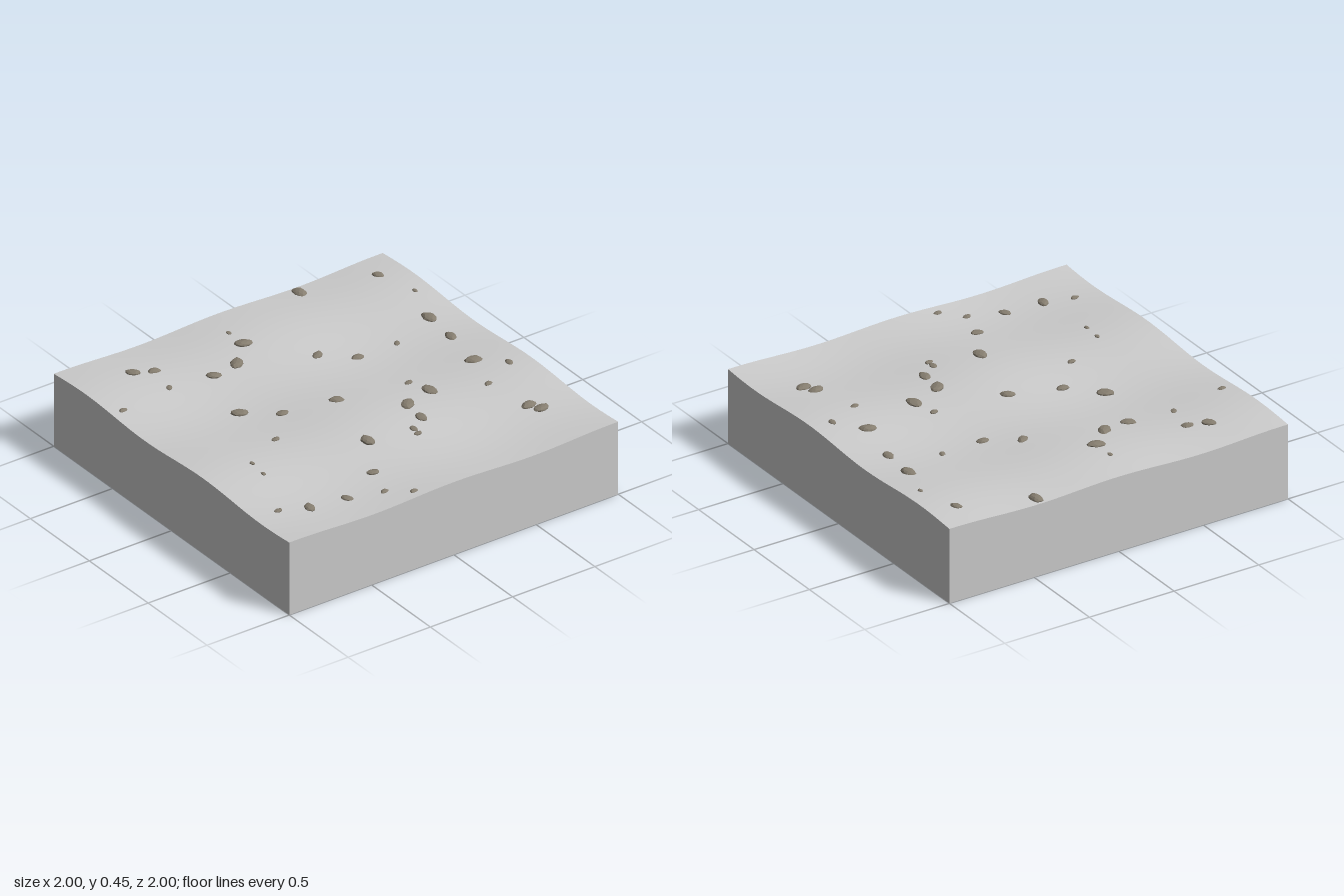
import * as THREE from 'three';

const concrete = new THREE.MeshStandardMaterial({ color: 0xcccccc });
concrete.name = 'pale grey ground';
const stone = new THREE.MeshStandardMaterial({ color: 0x857d6f, flatShading: true });
stone.name = 'brown grey pebble';

// gentle waves of the ground
const height = (x, z) =>
  0.411 + 0.012 * Math.cos(2 * Math.PI * (x - 0.27)) + 0.008 * Math.cos(2 * Math.PI * z / 0.97);

// block with a wavy top
function makeGround() {
  const g = new THREE.BoxGeometry(2, 2, 2, 64, 1, 64);
  const p = g.attributes.position;
  for (let i = 0; i < p.count; i++) {
    p.setY(i, p.getY(i) > 0 ? height(p.getX(i), p.getZ(i)) : 0);
  }
  g.computeVertexNormals();
  const mesh = new THREE.Mesh(g, concrete);
  mesh.name = 'groundBlock';
  return mesh;
}

// irregular faceted stone, the same corner always moves the same way
function makePebbleGeometry(seed) {
  const g = new THREE.IcosahedronGeometry(1, 1);
  const p = g.attributes.position;
  const v = new THREE.Vector3();
  for (let i = 0; i < p.count; i++) {
    v.fromBufferAttribute(p, i);
    const bump = Math.sin(v.x * 3.1 + seed) * Math.cos(v.z * 3.7 + seed * 2) + Math.sin(v.y * 4 + seed * 3) * 0.5;
    v.multiplyScalar(1 + 0.1 * bump);
    p.setXYZ(i, v.x, v.y, v.z);
  }
  g.computeVertexNormals();
  return g;
}

const shapes = [1, 2.3, 3.9, 5.2].map(makePebbleGeometry);

// stones of one length and turn (degrees), half sunk in the ground at each x, z
function scatter(name, length, turn, spots) {
  const group = new THREE.Group();
  group.name = name;
  spots.forEach(([x, z], i) => {
    const pebble = new THREE.Mesh(shapes[i % shapes.length], stone);
    pebble.name = 'pebble';
    pebble.scale.set(length * 0.5, length * 0.19, length * 0.34);
    pebble.rotation.y = THREE.MathUtils.degToRad(turn);
    pebble.position.set(x, height(x, z) + 0.001, z);
    group.add(pebble);
  });
  return group;
}

export function createModel() {
  const model = new THREE.Group();
  model.name = 'pebbledGround';
  model.add(
    makeGround(),
    // large stones
    scatter('largePebblesAcross', 0.094, 5, [[-0.375, -0.835], [0.205, -0.42], [0.435, 0.12], [-0.945, -0.455]]),
    scatter('largePebblesSlanted', 0.092, 63, [[0.1, -0.765], [-0.675, 0.08], [-0.19, 0.45]]),
    scatter('largePebblesBackslanted', 0.095, -48, [[-0.555, 0.205], [0.265, -0.245]]),
    // medium stones
    scatter('mediumPebblesAcross', 0.078, -10, [[-0.17, -0.82], [0.4, -0.23], [0.76, 0.705]]),
    scatter('mediumPebblesSlanted', 0.078, 52, [[0.02, 0.01], [-0.535, 0.36], [-0.775, 0.68]]),
    scatter('mediumPebblesAlong', 0.085, 93, [[0.595, -0.745], [0.655, -0.78]]),
    // lesser stones
    scatter('lesserPebblesAlong', 0.068, 80, [[-0.285, -0.335], [-0.05, 0.29], [0.67, 0.255], [-0.735, 0.58]]),
    scatter('lesserPebblesSlanted', 0.065, 25, [[-0.83, -0.85], [0.785, 0.495]]),
    scatter('lesserPebbleBackslanted', 0.07, -60, [[-0.4, -0.175]]),
    // small stones
    scatter('smallPebblesAcross', 0.052, -5, [[0.235, -0.885], [0.47, -0.135]]),
    scatter('smallPebblesAlong', 0.047, 100, [
      [0.33, -0.69], [0.08, -0.385], [0.515, -0.13], [0.94, 0.2],
      [0.845, 0.31], [0.145, 0.47], [0.705, 0.855], [-0.51, 0.93],
    ]),
    scatter('smallPebblesBackslanted', 0.044, -40, [[-0.285, -0.575], [-0.565, 0.61]]),
    scatter('tinyPebbles', 0.034, 0, [[-0.6, -0.91], [-0.8, 0.08], [0.28, 0.71], [0.39, 0.72]]),
  );
  return model;
}
